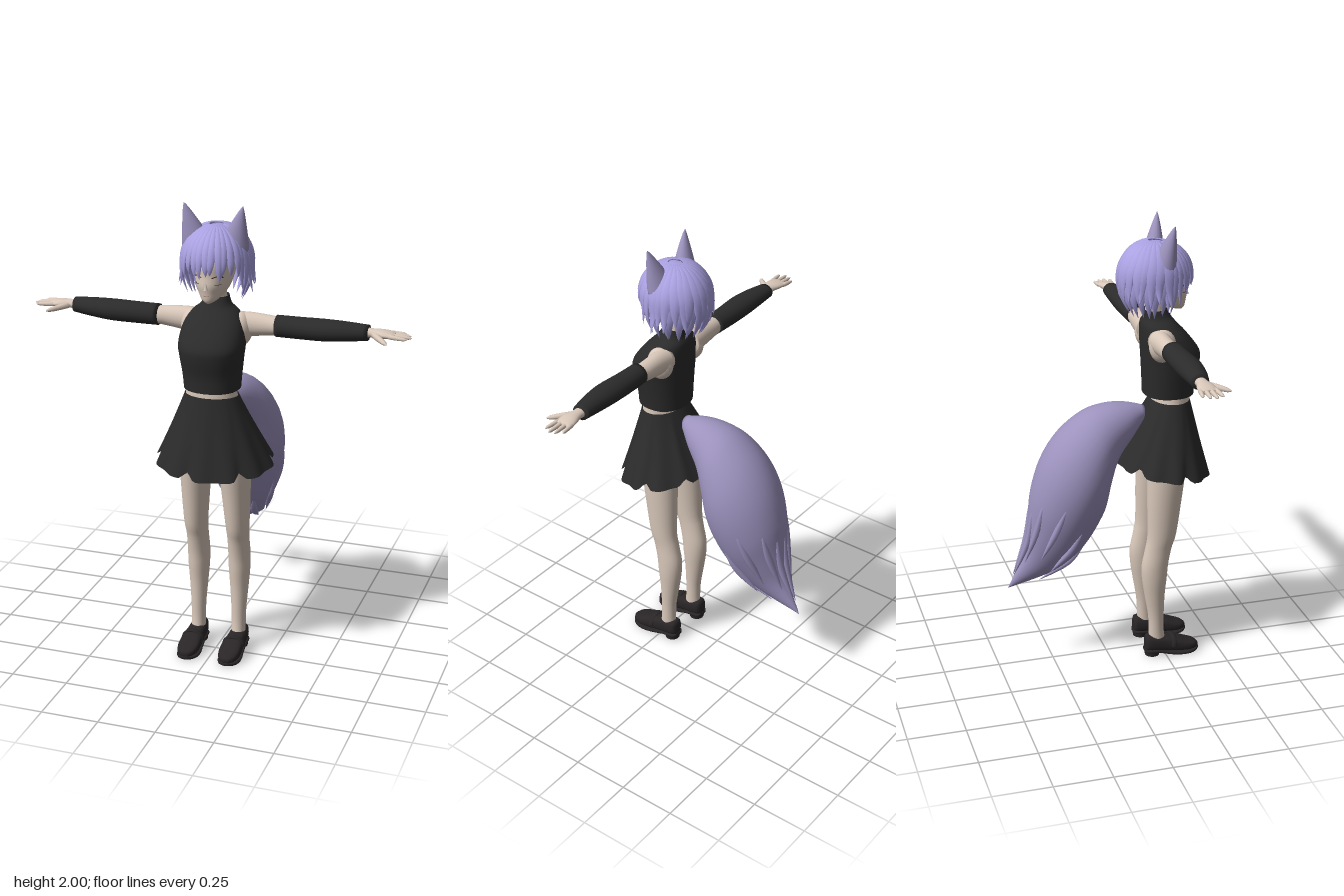
import * as THREE from 'three';

const V = (x, y, z) => new THREE.Vector3(x, y, z);
const mat = (name, color, side = THREE.FrontSide) =>
  Object.assign(new THREE.MeshStandardMaterial({ color, side }), { name });

// Surface through a list of equal-length rings; faces are turned outward by signed volume
function loft(rings, caps = true) {
  const n = rings[0].length, pts = rings.flat(), idx = [];
  for (let i = 0; i < rings.length - 1; i++)
    for (let j = 0; j < n; j++) {
      const a = i * n + j, b = i * n + (j + 1) % n;
      idx.push(a, b, a + n, b, b + n, a + n);
    }
  if (caps) [0, rings.length - 1].forEach((r, k) => {
    const c = pts.length, mid = V(0, 0, 0);
    rings[r].forEach(p => mid.addScaledVector(p, 1 / n));
    pts.push(mid);
    for (let j = 0; j < n; j++) {
      const a = r * n + j, b = r * n + (j + 1) % n;
      k ? idx.push(a, b, c) : idx.push(b, a, c);
    }
  });
  const centre = pts.reduce((s, p) => s.addScaledVector(p, 1 / pts.length), V(0, 0, 0));
  let vol = 0;
  for (let i = 0; i < idx.length; i += 3) {
    const [a, b, c] = [0, 1, 2].map(k => pts[idx[i + k]].clone().sub(centre));
    vol += a.dot(b.cross(c));
  }
  if (vol < 0) idx.reverse();
  const g = new THREE.BufferGeometry().setFromPoints(pts);
  g.setIndex(idx);
  g.computeVertexNormals();
  return g;
}

// Ring around c spanned by half-axes a and b; pow < 1 makes it squarer
function oval(c, a, b, n = 24, pow = 1) {
  const f = v => Math.sign(v) * Math.abs(v) ** pow;
  return Array.from({ length: n }, (_, i) => {
    const t = i / n * Math.PI * 2;
    return c.clone().addScaledVector(a, f(Math.cos(t))).addScaledVector(b, f(Math.sin(t)));
  });
}

// Smoothly resample rows of numbers
function smooth(rows, k = 4) {
  const out = [], at = i => rows[Math.min(Math.max(i, 0), rows.length - 1)];
  for (let i = 0; i < rows.length - 1; i++)
    for (let s = 0; s < k; s++) {
      const t = s / k;
      out.push(at(i).map((b, c) => {
        const a = at(i - 1)[c], d = at(i + 1)[c], e = at(i + 2)[c];
        return b + 0.5 * t * (d - a + t * (2 * a - 5 * b + 4 * d - e + t * (3 * (b - d) + e - a)));
      }));
    }
  out.push(rows[rows.length - 1]);
  return out;
}

// Rows [y, centre x, centre z, half width, half depth]; rows [x, y, z, half height, half depth]
const upright = (rows, caps = true, pow = 1) => loft(smooth(rows).map(([y, x, z, rx, rz]) =>
  oval(V(x, y, z), V(rx, 0, 0), V(0, 0, rz), 28, pow)), caps);
const sideways = (rows, s) => loft(smooth(rows).map(([x, y, z, ry, rz]) =>
  oval(V(x * s, y, z), V(0, ry, 0), V(0, 0, rz), 20)));

export function createModel() {
  const model = new THREE.Group();
  const skin = mat('skin', 0xd9c8ba), hair = mat('hair', 0xaaa2e2, THREE.DoubleSide);
  const fur = mat('fur', 0x9c92bd), cloth = mat('black cloth', 0x2b2b2b, THREE.DoubleSide);
  const leather = mat('shoe leather', 0x2a2628), dark = mat('lash', 0x3a3030);
  const lip = mat('lip', 0xb08078);
  const add = (name, geo, m) => {
    const mesh = new THREE.Mesh(geo, m);
    mesh.name = name;
    model.add(mesh);
    return mesh;
  };
  let seed = 7;
  const rnd = () => (seed = (seed * 16807) % 2147483647) / 2147483647;

  // Head, neck and hips
  add('head', upright([[1.606, 0, .322, .01, .014], [1.62, 0, .303, .034, .042], [1.65, 0, .265, .058, .085],
    [1.68, 0, .25, .071, .105], [1.72, 0, .235, .08, .116], [1.77, 0, .225, .085, .125],
    [1.83, 0, .215, .08, .11], [1.87, 0, .215, .03, .05]]), skin);
  add('neck', upright([[1.53, 0, .215, .05, .045], [1.6, 0, .215, .042, .042], [1.68, 0, .225, .042, .045]]), skin);
  add('hips', upright([[.89, 0, .24, .05, .07], [.97, 0, .245, .14, .1], [1.05, 0, .255, .14, .1],
    [1.15, 0, .275, .118, .092], [1.22, 0, .288, .109, .081], [1.34, 0, .28, .1, .08]]), skin);
  const nose = add('nose', new THREE.ConeGeometry(.009, .03, 8), skin);
  nose.position.set(0, 1.682, .356);

  // Face lines
  const faceZ = x => .236 + .116 * Math.sqrt(1 - (x / .08) ** 2);
  const line = (name, x0, x1, y, bow, r, m) => add(name, new THREE.TubeGeometry(new THREE.CatmullRomCurve3(
    [0, .25, .5, .75, 1].map(t => {
      const x = x0 + (x1 - x0) * t;
      return V(x, y + bow * Math.sin(Math.PI * t), faceZ(x));
    })), 12, r, 6), m);
  for (const s of [-1, 1]) {
    line('upperLash', .022 * s, .06 * s, 1.716, .006, .0022, dark);
    line('lowerLash', .03 * s, .055 * s, 1.69, -.003, .0012, dark);
  }
  line('mouth', -.012, .012, 1.642, -.002, .0014, lip).position.z = -.001;

  // Hair cap, reaching lower at the back
  const cap = new THREE.SphereGeometry(1, 40, 20), p = cap.attributes.position;
  for (let i = 0; i < p.count; i++) {
    const uv = cap.attributes.uv, az = uv.getX(i) * Math.PI * 2;
    const th = (1 - uv.getY(i)) * (1.7 - .45 * Math.cos(az));
    p.setXYZ(i, .138 * Math.sin(th) * Math.sin(az), 1.757 + .15 * Math.cos(th), .215 + .15 * Math.sin(th) * Math.cos(az));
  }
  cap.computeVertexNormals();
  add('hairCap', cap, hair);

  // One tapered lock running from the crown over the skull to a point
  function lock(az, yEnd, flare, w, sway, lift = 1.02) {
    const at = (r, y) => V(.14 * r * Math.sin(az), y, .215 + .152 * r * Math.cos(az));
    const S = V(Math.cos(az), 0, -Math.sin(az)), pts = [];
    for (let th = .2; th < 1.5; th += .3) pts.push(at(lift * Math.sin(th), 1.757 + .151 * lift * Math.cos(th)));
    pts.push(at(lift, (1.757 + yEnd) / 2 + .01), at(flare, yEnd));
    const curve = new THREE.CatmullRomCurve3(pts), rings = [];
    for (let i = 0; i <= 14; i++) {
      const t = i / 14, T = curve.getTangent(t), N = T.clone().cross(S).normalize();
      const k = w * Math.min(1, .3 + 1.5 * t) * (1 - t ** 4) + .0006;
      rings.push(oval(curve.getPoint(t).addScaledVector(S, sway * t * t), S.clone().multiplyScalar(k),
        N.multiplyScalar(Math.min(.009, k * .5)), 8));
    }
    add('hairLock', loft(rings), hair);
  }
  // Fringe
  for (let i = 0; i < 11; i++) {
    const az = -.95 + i * .19;
    lock(az, 1.705 + .03 * rnd() - (i % 3 === 1 ? .015 : 0), 1.0, .019, (rnd() - .5) * .03, 1.03);
  }
  for (const s of [-1, 1]) {
    // Locks beside the cheeks
    lock(1.05 * s, 1.66, 1.05, .022, .012 * s);
    lock(1.25 * s, 1.62, .85, .024, .01 * s);
    lock(1.45 * s, 1.64, 1.12, .026, .01 * s);
    // Outer and inner layers round the sides and back
    for (let i = 0; i < 8; i++) {
      const az = s * (1.5 + i * .22);
      lock(az, 1.655 + rnd() * .03, 1.1 + rnd() * .08 - i * .02, .03, (rnd() - .5) * .03, 1.04);
      lock(az + .1 * s, 1.595 + rnd() * .025, .68 + rnd() * .14, .034, (rnd() - .5) * .03, .99);
    }
  }

  // Halter top and skirt
  add('halterTop', upright([[1.235, 0, .277, .118, .11], [1.3, 0, .278, .124, .113], [1.38, 0, .285, .134, .124],
    [1.43, 0, .282, .139, .124], [1.5, 0, .255, .128, .1], [1.55, 0, .232, .1, .077],
    [1.58, 0, .225, .064, .06], [1.615, 0, .216, .05, .05]], false, .9), cloth);
  const notches = [-.25, .72, -1.35, 1.75, 2.6, -2.4], skirt = [];
  for (let r = 0; r <= 8; r++) {
    const t = r / 8, f = t ** 1.05, ring = [];
    for (let j = 0; j < 96; j++) {
      const az = -Math.PI + j / 96 * Math.PI * 2;
      const cut = Math.max(0, ...notches.map(n => 1 - Math.abs(az - n) / .14));
      const k = 1 + f * (.025 * Math.cos(az * 12) - .07 * cut * t);
      const hem = .9 - .03 * Math.cos(az) + .03 * cut;
      ring.push(V((.115 + .138 * f) * k * Math.sin(az), 1.21 + (hem - 1.21) * t,
        .285 - .035 * f + (.085 + .122 * f) * k * Math.cos(az)));
    }
    skirt.push(ring);
  }
  add('skirt', loft(skirt, false), cloth);

  for (const s of [-1, 1]) {
    // Ears
    const ear = [];
    for (let i = 0; i <= 10; i++) {
      const t = i / 10, k = (1 - t) ** .85 + .004;
      ear.push(oval(V(s * (.09 + .036 * t), 1.835 + .165 * t, .228 + .032 * t),
        V(s * .053 * k, -.038 * k, 0), V(0, .012 * k, .05 * k), 16));
    }
    add('ear', loft(ear), fur);

    // Shoulder, arm and sleeve
    const shoulder = add('shoulder', new THREE.SphereGeometry(1, 24, 16), skin);
    shoulder.scale.set(.048, .072, .06);
    shoulder.position.set(.105 * s, 1.478, .22);
    add('arm', sideways([[.08, 1.497, .21, .05, .05], [.15, 1.498, .207, .05, .042], [.22, 1.5, .207, .043, .038],
      [.3, 1.502, .21, .036, .036], [.6, 1.508, .205, .022, .026], [.66, 1.51, .205, .018, .026],
      [.7, 1.51, .205, .017, .037], [.735, 1.508, .203, .013, .04], [.75, 1.507, .203, .008, .036]], s), skin);
    add('sleeve', sideways([[.256, 1.503, .214, .045, .047], [.35, 1.503, .214, .045, .051],
      [.46, 1.505, .216, .045, .055], [.55, 1.507, .212, .04, .049], [.64, 1.508, .204, .032, .037]], s), cloth);
    // Fingers and thumb
    const finger = (name, a, b, r) => {
      const rings = [0, .3, .6, .85, 1].map((t, i) => {
        const d = b.clone().sub(a).normalize(), side = V(0, 1, 0).cross(d).normalize();
        const k = r * [1, 1, .9, .7, .15][i];
        return oval(a.clone().lerp(b, t), V(0, k, 0), side.multiplyScalar(k), 10);
      });
      add(name, loft(rings), skin);
    };
    [[.172, .165, .79], [.193, .19, .812], [.214, .215, .82], [.234, .243, .805]].forEach(([z0, z1, x]) =>
      finger('finger', V(.73 * s, 1.508, z0), V(x * s, 1.505, z1), .0095));
    finger('thumb', V(.665 * s, 1.507, .222), V(.735 * s, 1.496, .3), .013);

    // Leg
    add('leg', upright([[1, .08, .255, .07, .09], [.87, .087, .248, .067, .084], [.75, .091, .24, .06, .076],
      [.6, .094, .23, .05, .065], [.53, .093, .215, .046, .06], [.45, .093, .2, .047, .06],
      [.38, .093, .198, .046, .056], [.3, .093, .2, .04, .046], [.2, .093, .207, .033, .036],
      [.12, .093, .21, .031, .034], [.05, .093, .215, .032, .04]].map(([y, x, ...r]) => [y, x * s, ...r])), skin);

    // Shoe: rows [z, half width, bottom, top]
    add('shoe', loft(smooth([[.157, .018, .03, .085], [.168, .032, .026, .1], [.2, .038, .022, .098],
      [.25, .04, .018, .09], [.3, .046, .012, .08], [.35, .047, .01, .06], [.385, .036, .012, .048],
      [.404, .014, .016, .036]]).map(([z, w, lo, hi]) =>
      oval(V(.094 * s, (lo + hi) / 2, z), V(w, 0, 0), V(0, (hi - lo) / 2, 0), 20, .7))), leather);
    add('sole', loft(smooth([[.155, .022, .026], [.17, .036, .026], [.22, .038, .022], [.27, .042, .01],
      [.32, .05, .006], [.36, .048, .006], [.39, .034, .008], [.407, .012, .012]]).map(([z, w, y]) =>
      oval(V(.094 * s, y, z), V(w, 0, 0), V(0, .007, 0), 16, .4))), leather);
    const heel = add('heel', new THREE.CylinderGeometry(.036, .033, .026, 20), leather);
    heel.position.set(.094 * s, .013, .191);
    const strap = add('shoeStrap', new THREE.TorusGeometry(.043, .006, 8, 20, Math.PI), leather);
    strap.scale.set(1.05, .9, 2.2);
    strap.position.set(.094 * s, .047, .285);
  }

  // Tail: rows [upper z, upper y, lower z, lower y, half width]
  const tail = smooth([[.17, 1.18, .16, 1.11, .035], [.09, 1.2, .11, 1.04, .08], [0, 1.202, .045, .95, .12],
    [-.1, 1.172, .01, .84, .16], [-.21, 1.085, -.01, .74, .184], [-.29, .965, -.045, .66, .18],
    [-.338, .82, -.095, .575, .152], [-.355, .68, -.16, .5, .108], [-.378, .53, -.26, .435, .055],
    [-.45, .381, -.449, .379, .001]]);
  add('tail', loft(tail.map(([z1, y1, z0, y0, w]) => oval(V(0, (y1 + y0) / 2, (z1 + z0) / 2),
    V(w, 0, 0), V(0, (y1 - y0) / 2, (z1 - z0) / 2), 32))), fur);
  // Fur tufts lying along the tail towards its tip
  for (const s of [-1, 1])
    for (const [a, start, reach] of [[.25, 22, .05], [.9, 24, .04], [-.5, 23, .04], [1.35, 26, .03], [-1.2, 25, .03]]) {
      const on = (i, out) => {
        const [z1, y1, z0, y0, w] = tail[i];
        const c = Math.cos(a) * out, h = Math.sin(a) * out / 2;
        return V(s * w * c, (y1 + y0) / 2 + (y1 - y0) * h, (z1 + z0) / 2 + (z1 - z0) * h);
      };
      const end = on(start + 8, 1.1).add(V(0, -reach * .4, -reach * .3));
      const path = new THREE.CatmullRomCurve3([on(start, .96), on(start + 4, 1), end]);
      const rings = Array.from({ length: 9 }, (_, i) => {
        const k = .018 * Math.sin(Math.PI * (.12 + .88 * i / 8)) + .0004;
        return oval(path.getPoint(i / 8), V(k, 0, 0), V(0, k * .6, -k * .6), 8);
      });
      add('tailTuft', loft(rings), fur);
    }
  return model;
}
